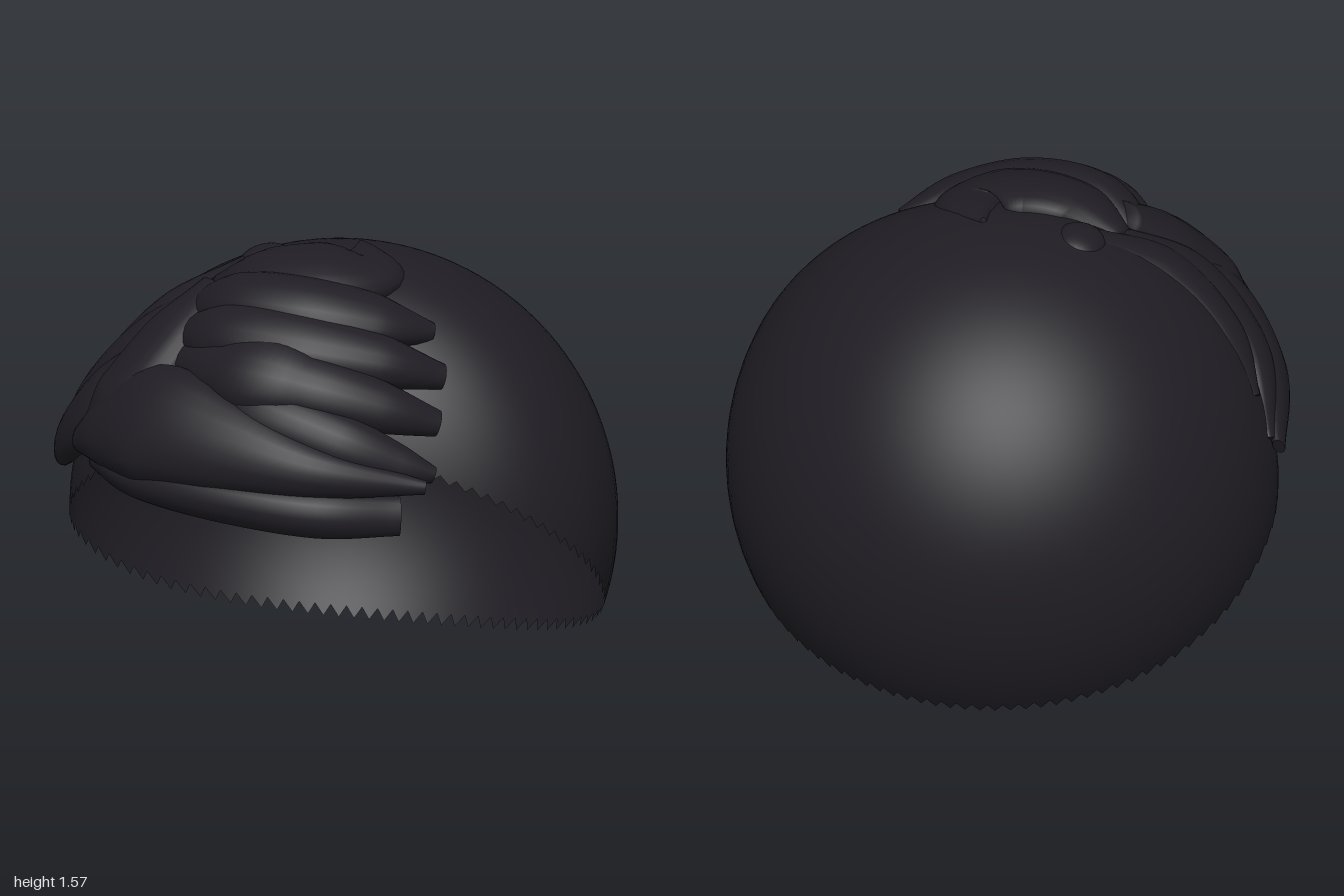
import * as THREE from 'three';

const material = new THREE.MeshStandardMaterial({ color: 0x1f1d23, side: THREE.DoubleSide });
const HEAD = new THREE.Vector3(0, 0.5, 0); // locks lie flat around this point

// Height of the cap's hem at depth z
const hem = (z) => 0.4 + 0.69 * z + 0.26 * z * z;

// Domed cap: an ellipsoid, shallower at the front, trimmed along the hem
function capGeometry() {
  const geo = new THREE.SphereGeometry(1, 96, 48);
  const { position, normal, uv } = geo.attributes;
  const R = 0.985;
  const dir = new THREE.Vector3();
  for (let i = 0; i < position.count; i++) {
    const around = uv.getX(i) * Math.PI * 2;
    const dx = -Math.cos(around), dz = Math.sin(around);
    const rz = dz > 0 ? 0.68 : R;
    // find the polar angle where this meridian meets the hem
    let lo = 0, hi = Math.PI;
    for (let k = 0; k < 30; k++) {
      const mid = (lo + hi) / 2;
      if (0.56 + R * Math.cos(mid) > hem(dz * Math.sin(mid) * rz)) lo = mid; else hi = mid;
    }
    const polar = (1 - uv.getY(i)) * lo;
    const s = Math.sin(polar), c = Math.cos(polar);
    position.setXYZ(i, 0.01 + dx * s * R, 0.56 + c * R, dz * s * rz);
    dir.set(dx * s / R, c / R, dz * s / rz).normalize();
    normal.setXYZ(i, dir.x, dir.y, dir.z);
  }
  return geo;
}

// Lock of hair: flattened oval swept along points [x, y, z, halfWidth, halfThickness]
function lockGeometry(points, steps = 40, sides = 20) {
  const path = new THREE.CatmullRomCurve3(points.map((p) => new THREE.Vector3(p[0], p[1], p[2])));
  const size = new THREE.CatmullRomCurve3(points.map((p) => new THREE.Vector3(p[3], p[4], 0)));
  const verts = [], index = [];
  const addRing = (u, scale) => {
    const c = path.getPoint(u), t = path.getTangent(u), s = size.getPoint(u);
    const out = c.clone().sub(HEAD);
    out.addScaledVector(t, -out.dot(t)).normalize();
    const across = out.clone().cross(t);
    for (let j = 0; j < sides; j++) {
      const a = (j / sides) * Math.PI * 2;
      const p = c.clone()
        .addScaledVector(across, Math.cos(a) * Math.max(s.x, 0.005) * scale)
        .addScaledVector(out, Math.sin(a) * Math.max(s.y, 0.005) * scale);
      verts.push(p.x, p.y, p.z);
    }
  };
  const joinLast = () => {
    const b = verts.length / 3 - sides, a = b - sides;
    for (let j = 0; j < sides; j++) {
      const k = (j + 1) % sides;
      index.push(a + j, a + k, b + j, a + k, b + k, b + j);
    }
  };
  addRing(0, 0.001);
  for (let i = 0; i <= steps; i++) {
    addRing(i / steps, 1);
    joinLast();
  }
  // crisp blunt tip
  addRing(1, 1);
  addRing(1, 0.001);
  joinLast();
  const geo = new THREE.BufferGeometry();
  geo.setAttribute('position', new THREE.Float32BufferAttribute(verts, 3));
  geo.setIndex(index);
  geo.computeVertexNormals();
  return geo;
}

const locks = {
  crownLock: [
    [-0.36, 1.4, 0.2, 0.06, 0.05], [-0.17, 1.46, 0.27, 0.17, 0.09], [0.04, 1.48, 0.26, 0.21, 0.09],
    [0.17, 1.48, 0.16, 0.15, 0.07], [0.13, 1.52, 0.05, 0.07, 0.04], [0.08, 1.545, -0.03, 0.01, 0.015]],
  fringeLock1: [
    [-0.4, 1.33, 0.32, 0.08, 0.07], [-0.2, 1.41, 0.45, 0.13, 0.09], [0.05, 1.41, 0.48, 0.14, 0.09],
    [0.3, 1.37, 0.4, 0.12, 0.07], [0.46, 1.31, 0.28, 0.04, 0.04]],
  fringeLock2: [
    [-0.4, 1.26, 0.42, 0.08, 0.07], [-0.2, 1.32, 0.58, 0.13, 0.09], [0.05, 1.31, 0.61, 0.14, 0.09],
    [0.35, 1.25, 0.52, 0.11, 0.08], [0.54, 1.18, 0.38, 0.05, 0.04]],
  fringeLock3: [
    [-0.4, 1.2, 0.5, 0.08, 0.07], [-0.15, 1.22, 0.68, 0.13, 0.09], [0.15, 1.18, 0.71, 0.13, 0.09],
    [0.4, 1.11, 0.63, 0.1, 0.07], [0.57, 1.04, 0.51, 0.05, 0.04]],
  fringeLock4: [
    [-0.35, 1.12, 0.6, 0.08, 0.07], [0, 1.09, 0.77, 0.12, 0.09], [0.3, 1.0, 0.77, 0.11, 0.08],
    [0.5, 0.92, 0.69, 0.07, 0.05], [0.6, 0.88, 0.63, 0.03, 0.03]],
  mainSweep: [
    [-0.76, 0.9, 0.56, 0.05, 0.03], [-0.62, 0.96, 0.65, 0.14, 0.08], [-0.4, 1.02, 0.76, 0.22, 0.11],
    [-0.12, 0.98, 0.84, 0.18, 0.11], [0.22, 0.91, 0.86, 0.1, 0.08], [0.6, 0.85, 0.71, 0.025, 0.02]],
  mainSweepRoot: [
    [-0.33, 1.42, 0.32, 0.08, 0.06], [-0.45, 1.25, 0.48, 0.16, 0.09], [-0.57, 1.07, 0.6, 0.17, 0.09],
    [-0.68, 0.92, 0.62, 0.1, 0.05]],
  lowerSweep: [
    [-0.7, 0.82, 0.55, 0.03, 0.03], [-0.45, 0.81, 0.79, 0.06, 0.07], [-0.1, 0.79, 0.89, 0.08, 0.08],
    [0.25, 0.76, 0.87, 0.085, 0.07], [0.51, 0.745, 0.73, 0.07, 0.04]],
  sideLock1: [
    [-0.3, 1.46, 0.08, 0.06, 0.04], [-0.55, 1.3, 0.2, 0.11, 0.06], [-0.76, 1.1, 0.17, 0.1, 0.05],
    [-0.89, 0.93, 0.05, 0.03, 0.02]],
  sideLock2: [
    [-0.35, 1.4, 0.2, 0.07, 0.05], [-0.6, 1.21, 0.33, 0.13, 0.07], [-0.82, 0.98, 0.27, 0.11, 0.06],
    [-0.95, 0.77, 0.04, 0.03, 0.02]],
  sideLock3: [
    [-0.42, 1.27, 0.4, 0.08, 0.06], [-0.67, 1.05, 0.48, 0.15, 0.08], [-0.86, 0.87, 0.35, 0.12, 0.06],
    [-0.98, 0.74, 0.05, 0.04, 0.02]],
};

export function createModel() {
  const model = new THREE.Group();
  model.name = 'hair';
  const add = (name, geometry) => {
    const mesh = new THREE.Mesh(geometry, material);
    mesh.name = name;
    model.add(mesh);
    return mesh;
  };

  add('hairCap', capGeometry());
  for (const [name, points] of Object.entries(locks)) add(name, lockGeometry(points));

  // Small knot where the side locks part
  const knot = add('partingKnot', new THREE.SphereGeometry(1, 24, 16));
  knot.scale.set(0.09, 0.05, 0.1);
  knot.position.set(-0.26, 1.48, 0.03);
  knot.rotation.z = 0.25;
  return model;
}
